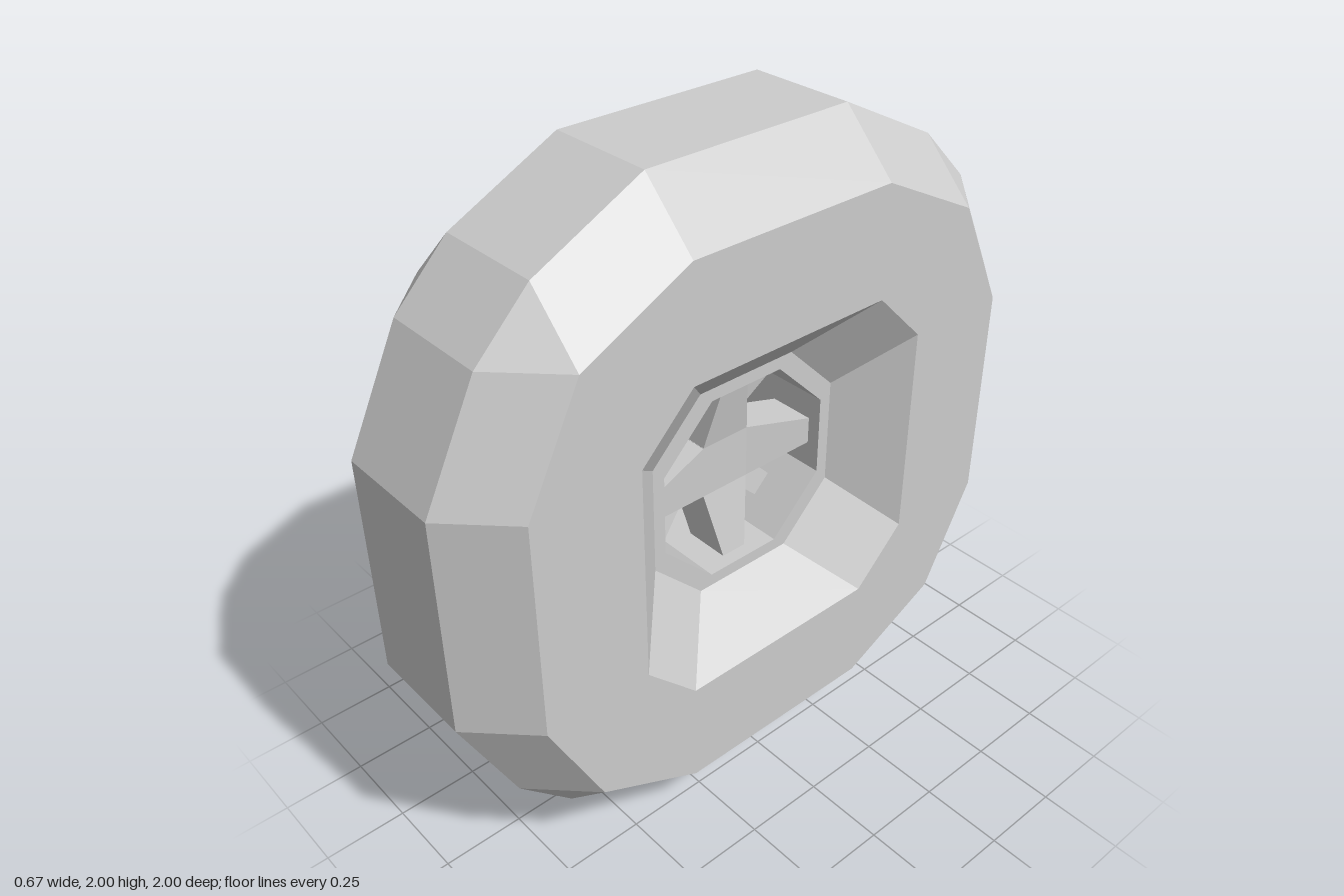
import * as THREE from 'three';

const material = new THREE.MeshStandardMaterial({ color: 0xcccccc, flatShading: true });

// Ring of 16 points around the x axis; quarter holds four [z, y] points.
function ring(x, quarter) {
  const points = [];
  for (let k = 0; k < 4; k++) {
    for (const [z, y] of quarter) {
      const [rz, ry] = [[z, y], [-y, z], [-z, -y], [y, -z]][k];
      points.push(new THREE.Vector3(x, ry, rz));
    }
  }
  return points;
}

// Closed skin through a loop of rings.
function loft(rings) {
  const positions = [];
  const triangle = (a, b, c) => {
    const area = b.clone().sub(a).cross(c.clone().sub(a)).length();
    if (area > 1e-8) for (const p of [a, b, c]) positions.push(p.x, p.y, p.z);
  };
  rings.forEach((r, i) => {
    const next = rings[(i + 1) % rings.length];
    for (let j = 0; j < r.length; j++) {
      const k = (j + 1) % r.length;
      triangle(r[j], next[j], next[k]);
      triangle(r[j], next[k], r[k]);
    }
  });
  const geometry = new THREE.BufferGeometry();
  geometry.setAttribute('position', new THREE.Float32BufferAttribute(positions, 3));
  geometry.computeVertexNormals();
  return geometry;
}

// Bar running up y; each end is { r, half, back, front }.
function taperedBar(root, tip) {
  const geometry = new THREE.BoxGeometry(1, 1, 1);
  const p = geometry.attributes.position;
  for (let i = 0; i < p.count; i++) {
    const end = p.getY(i) > 0 ? tip : root;
    p.setXYZ(i, p.getX(i) > 0 ? end.front : end.back, end.r, Math.sign(p.getZ(i)) * end.half);
  }
  geometry.computeVertexNormals();
  return geometry;
}

export function createModel() {
  const wheel = new THREE.Group();
  wheel.name = 'wheel';
  const add = (name, geometry) => {
    const mesh = new THREE.Mesh(geometry, material);
    mesh.name = name;
    mesh.position.y = 1;
    wheel.add(mesh);
    return mesh;
  };

  // Tyre: tread, chamfer, sidewall, dished rim and lip, then the same mirrored
  const a = 1 / 6;
  const octagon = (r, h) => [[r, h], [r, h], [h, r], [h, r]];
  const side = [
    [a, [[6 * a, 2 * a], [5 * a, 4 * a], [4 * a, 5 * a], [2 * a, 6 * a]]],
    [2 * a, [[5 * a, 2 * a], [4 * a, 4 * a], [4 * a, 4 * a], [2 * a, 5 * a]]],
    [2 * a, octagon(3 * a, 2 * a)],
    [a, octagon(2 * a, a)],
    [a, octagon(0.295, 0.125)],
  ];
  const rings = side.map(([x, q]) => ring(x, q));
  for (const [x, q] of [...side].reverse()) rings.push(ring(-x, q));
  add('tyreAndRim', loft(rings));

  // Hub: small block on one side, wide plate on the other
  const hub = new THREE.BoxGeometry(0.163, a, a);
  hub.translate(0.002, 0, 0);
  add('hub', hub);
  const plate = new THREE.BoxGeometry(0.085, 2 * a, 2 * a);
  plate.translate(-0.0825, 0, 0);
  add('hubPlate', plate);

  // Four wide spokes flaring forward, four narrow diagonal ones behind
  const wide = taperedBar(
    { r: 0.08, half: 0.083, back: -0.06, front: 0.083 },
    { r: 0.296, half: 0.042, back: -0.02, front: 0.125 });
  const narrow = taperedBar(
    { r: 0.1, half: 0.045, back: -0.1, front: -0.02 },
    { r: 0.3, half: 0.038, back: -0.06, front: 0.02 });
  for (let k = 0; k < 4; k++) {
    add('spoke', wide).rotation.x = k * Math.PI / 2;
    add('diagonalSpoke', narrow).rotation.x = (k + 0.5) * Math.PI / 2;
  }
  return wheel;
}
